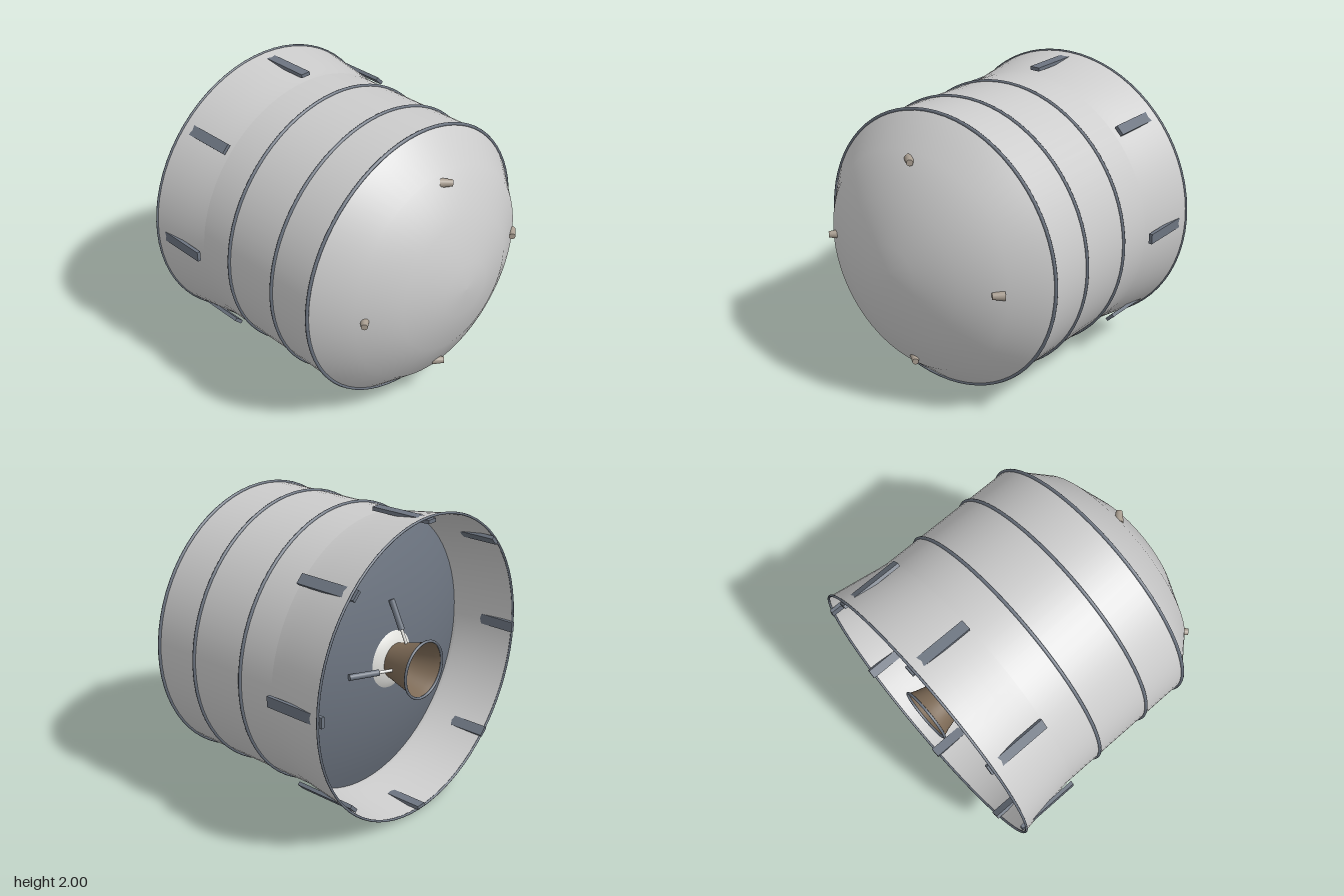
import * as THREE from 'three';

const material = (color) => new THREE.MeshStandardMaterial({ color, side: THREE.DoubleSide });
const SIDES = 72;

export function createModel() {
  const model = new THREE.Group();
  model.name = 'propulsionStage';
  const body = new THREE.Group();
  body.name = 'body';
  body.position.y = 1;
  model.add(body);

  const shell = material(0xcccccc);
  const dark = material(0x6c7480);
  const white = material(0xe4e4e0);
  const brown = material(0x7d6a56);
  const beige = material(0xa89d90);

  function add(name, geometry, mat) {
    const mesh = new THREE.Mesh(geometry, mat);
    mesh.name = name;
    body.add(mesh);
    return mesh;
  }
  // Surface of revolution around z, from [radius, z] pairs in rising z
  function lathe(name, profile, mat, sides = SIDES) {
    const points = profile.map(([r, z]) => new THREE.Vector2(r, z));
    return add(name, new THREE.LatheGeometry(points, sides).rotateX(Math.PI / 2), mat);
  }
  function ring(name, radius, z, tube, mat) {
    add(name, new THREE.TorusGeometry(radius, tube, 8, SIDES), mat).position.z = z;
  }
  // Tapered rod between two points
  function rod(name, from, to, r0, r1, mat) {
    const a = new THREE.Vector3(...from);
    const b = new THREE.Vector3(...to);
    const dir = b.clone().sub(a);
    const mesh = add(name, new THREE.CylinderGeometry(r1, r0, dir.length(), 16), mat);
    mesh.position.copy(a).lerp(b, 0.5);
    mesh.quaternion.setFromUnitVectors(new THREE.Vector3(0, 1, 0), dir.normalize());
  }

  // Outer shell: front dome, barrel and flared skirt
  lathe('frontDome', [[0.93, 0.49], [0.74, 0.7], [0.47, 0.845], [0.19, 0.932], [0, 0.94]], shell);
  lathe('barrel', [[0.93, -0.5], [0.93, 0.49]], shell);
  lathe('flaredSkirt', [[0.99, -0.92], [0.972, -0.8], [0.952, -0.66], [0.938, -0.57], [0.93, -0.5]], shell);

  // Raised hoops and the rear rim
  for (const z of [0.49, 0.165, -0.24]) ring('hoop', 0.933, z, 0.011, dark);
  ring('rearRim', 0.991, -0.92, 0.008, dark);

  // Eight flat brackets crossing the skirt wall
  for (let i = 0; i < 8; i++) {
    const angle = (i * Math.PI) / 4;
    const bracket = add('skirtBracket', new THREE.BoxGeometry(0.024, 0.07, 0.43), dark);
    bracket.position.set(Math.cos(angle) * 0.967, Math.sin(angle) * 0.967, -0.725);
    bracket.rotation.z = angle;
  }

  // Rear bulkhead, bulging backwards
  const bulge = [];
  for (let i = 0; i <= 10; i++) {
    const r = (0.93 * i) / 10;
    bulge.push([r, -0.67 + 0.19 * (r / 0.93) ** 2]);
  }
  lathe('rearBulkhead', bulge, dark);

  // Engine: flange, bell and lip
  lathe('engineFlange', [[0.1, -0.7], [0.15, -0.69], [0.2, -0.655]], white, 40);
  lathe('engineBell', [[0.185, -0.92], [0.165, -0.87], [0.143, -0.79], [0.125, -0.73], [0.11, -0.67]], brown, 40);
  add('engineThroat', new THREE.CircleGeometry(0.112, 40), brown).position.z = -0.69;
  ring('engineLip', 0.186, -0.92, 0.009, dark);

  // Two gimbal actuators, above the bell and on its left
  for (const [x, y] of [[0, 1], [1, 0]]) {
    const at = (r, z) => [x * r, y * r, z];
    rod('actuatorCylinder', at(0.4, -0.65), at(0.22, -0.737), 0.02, 0.02, dark);
    rod('actuatorPiston', at(0.22, -0.737), at(0.13, -0.78), 0.01, 0.01, white);
  }

  // Four small thrusters set on the dome at a slant
  for (const [x, y, side] of [[0, 0.69, 1], [0, -0.69, 1], [0.69, 0, -1], [-0.69, 0, -1]]) {
    const d = 0.028;
    rod('thruster', [x - side * d, y, 0.735 - d], [x + side * d, y, 0.735 + d], 0.031, 0.021, beige);
  }

  return model;
}
